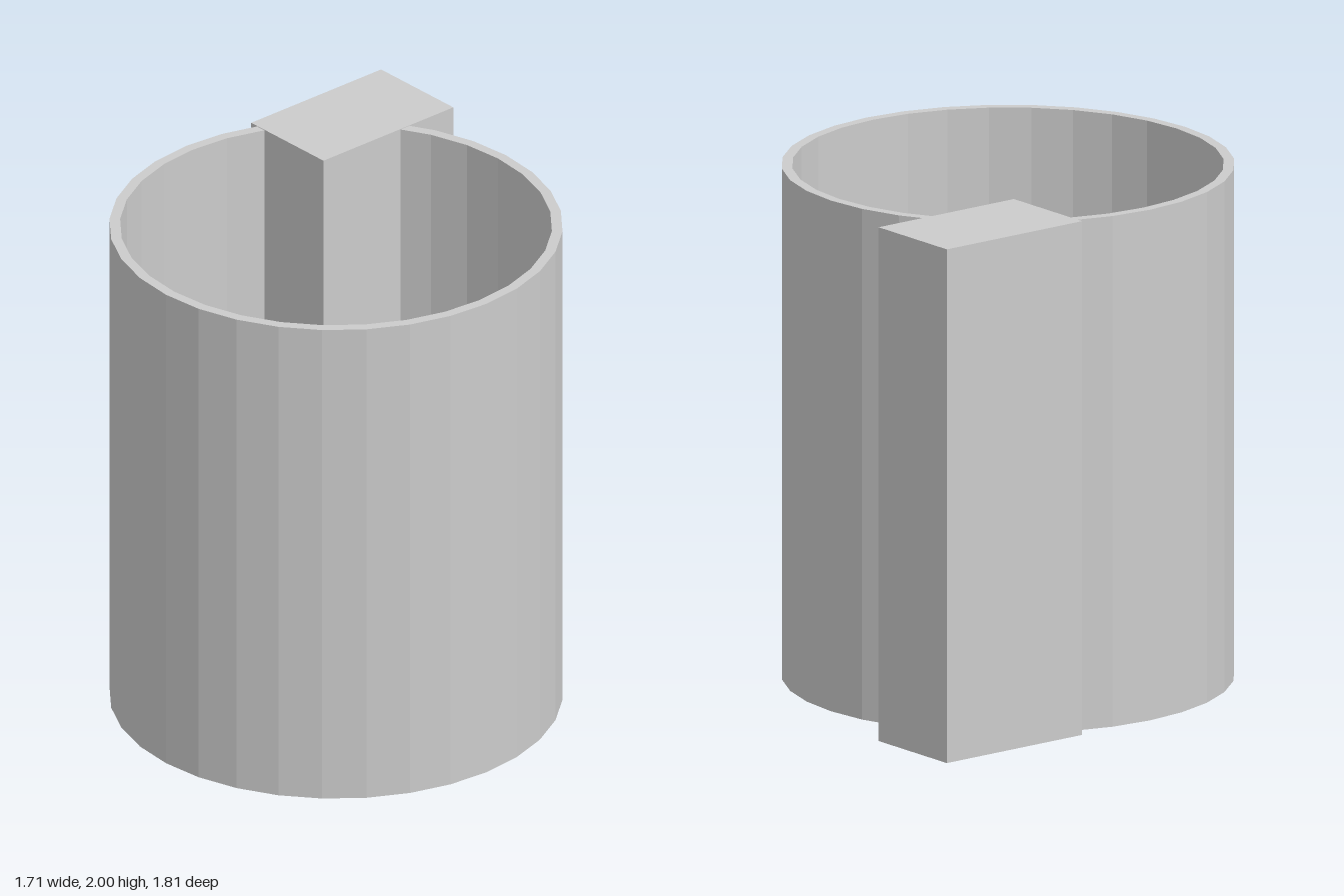
import * as THREE from 'three';

export function createModel() {
  const group = new THREE.Group();
  const material = new THREE.MeshStandardMaterial({ color: 0xcccccc, flatShading: true });

  // Open tube: rectangular wall section turned around the axis, 32 flat sides
  const outer = 0.853, inner = 0.813, bottom = 0.01, top = 1.998;
  const section = [
    [inner, bottom], [outer, bottom], [outer, top], [inner, top], [inner, bottom],
  ].map(([r, y]) => new THREE.Vector2(r, y));
  const tube = new THREE.Mesh(new THREE.LatheGeometry(section, 32), material);
  tube.name = 'tubeWall';
  tube.position.z = 0.052;
  group.add(tube);

  // Upright block set through the wall at the back right
  const block = new THREE.Mesh(new THREE.BoxGeometry(0.41, 2, 0.652), material);
  block.name = 'cornerBlock';
  block.position.set(-0.623, 1, -0.581);
  group.add(block);

  return group;
}
